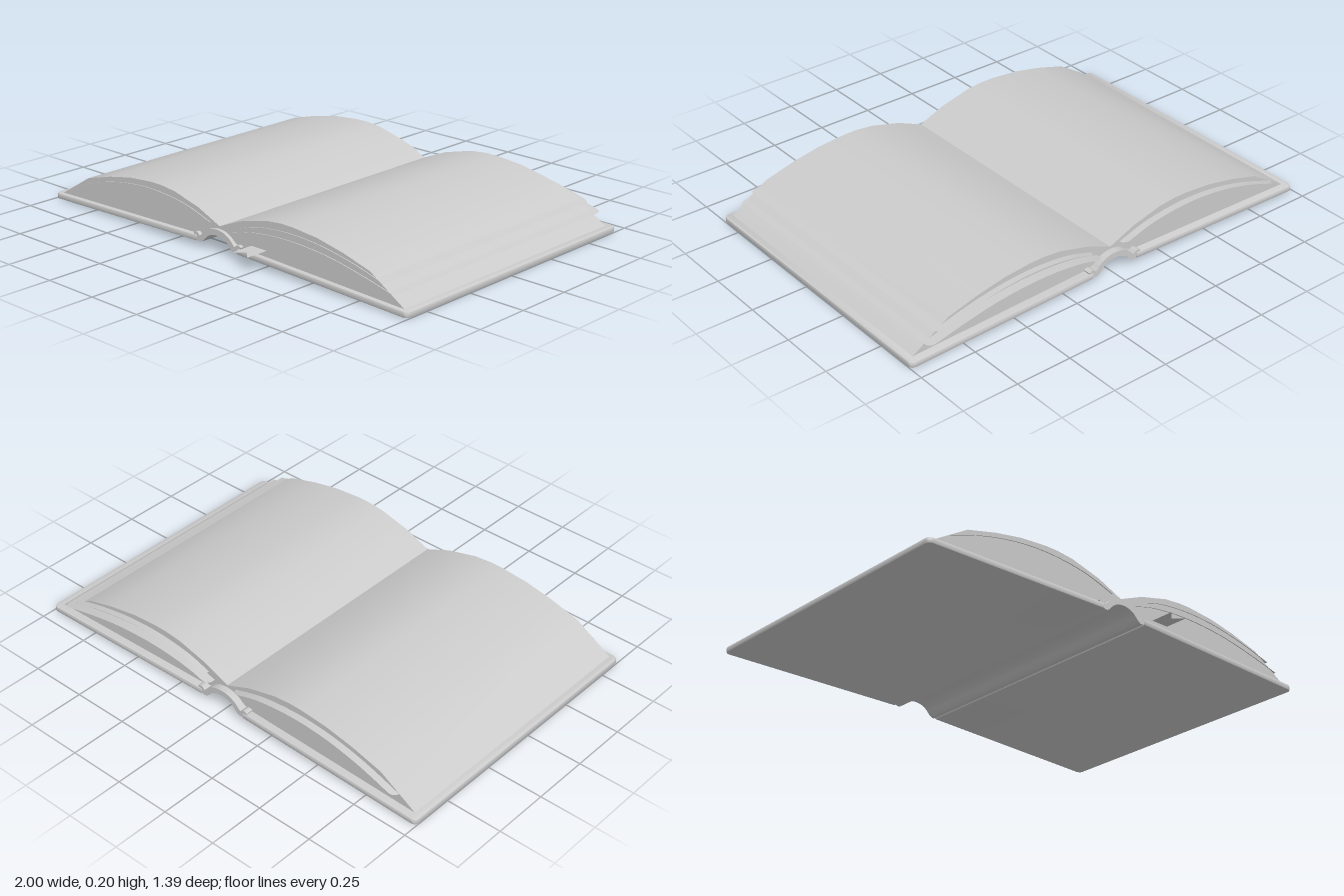
import * as THREE from 'three';
import { toCreasedNormals } from 'three/addons/utils/BufferGeometryUtils.js';

const grey = new THREE.MeshStandardMaterial({ color: 0xcccccc });
const thin = new THREE.MeshStandardMaterial({ color: 0xcccccc, side: THREE.DoubleSide });

const BACK = -0.69, FRONT = 0.61;
const v2 = ([x, y]) => new THREE.Vector2(x, y);

function add(parent, name, geometry, material = grey) {
  const mesh = new THREE.Mesh(geometry, material);
  mesh.name = name;
  parent.add(mesh);
  return mesh;
}

// Extrudes an x/y outline along z, keeping hard edges at the ends
function extrudeZ(points, z0, z1) {
  const geo = new THREE.ExtrudeGeometry(new THREE.Shape(points), { depth: z1 - z0, bevelEnabled: false });
  geo.translate(0, 0, z0);
  return toCreasedNormals(geo, 0.5);
}

// Cover board with rounded corners, rising gently towards the spine
function boardGeometry(side) {
  const b = 0.006, r = 0.018;
  const x0 = 0.115 + b, x1 = 1 - b, z0 = BACK + b, z1 = FRONT - b;
  const s = new THREE.Shape();
  s.moveTo(x0, z0);
  s.lineTo(x1 - r, z0);
  s.quadraticCurveTo(x1, z0, x1, z0 + r);
  s.lineTo(x1, z1 - r);
  s.quadraticCurveTo(x1, z1, x1 - r, z1);
  s.lineTo(x0, z1);
  const geo = new THREE.ExtrudeGeometry(s, {
    depth: 0.014, bevelThickness: b, bevelSize: b, bevelSegments: 2, curveSegments: 5,
  });
  geo.rotateX(Math.PI / 2);
  geo.translate(0, 0.02, 0);
  if (side < 0) geo.rotateY(Math.PI).translate(0, 0, BACK + FRONT);
  const p = geo.attributes.position;
  for (let i = 0; i < p.count; i++) p.setY(i, p.getY(i) + (1 - Math.abs(p.getX(i))) * 0.028);
  return toCreasedNormals(geo, 0.7);
}

// Spine: an arch with a rounded hinge groove on each side
function spineGeometry() {
  const half = [[0, 0.087], [0.035, 0.082], [0.065, 0.066], [0.085, 0.046], [0.097, 0.038],
    [0.108, 0.042], [0.118, 0.05], [0.13, 0.045]];
  const mirrored = half.slice(1).reverse().map(([x, y]) => new THREE.Vector3(-x, y, 0));
  const path = new THREE.CatmullRomCurve3([...mirrored, ...half.map(([x, y]) => new THREE.Vector3(x, y, 0))]);
  const upper = [], lower = [], n = 64, t = 0.0125;
  for (let i = 0; i <= n; i++) {
    const c = path.getPoint(i / n), d = path.getTangent(i / n);
    upper.push(new THREE.Vector2(c.x - d.y * t, c.y + d.x * t));
    lower.push(new THREE.Vector2(c.x + d.y * t, c.y - d.x * t));
  }
  return extrudeZ([...lower, ...upper.reverse()], BACK + 0.004, FRONT - 0.004);
}

// Page stack with a bulging top and a sloping fore edge
function pagesGeometry(side) {
  const outline = [[0, 0.092], [0.06, 0.08], [0.11, 0.052], [0.2, 0.047], [0.97, 0.026],
    [0.8, 0.13], [0.66, 0.168], [0.53, 0.193], [0.4, 0.204], [0.34, 0.204], [0.26, 0.196],
    [0.12, 0.16], [0, 0.11]];
  return extrudeZ(outline.map(([x, y]) => v2([x * side, y])), -0.655, 0.59);
}

// Curved loose leaf whose back corners are rounded
function leafGeometry(side, profile, back) {
  const z1 = 0.594, r = 0.03, n = 64;
  const x0 = profile[0][0], x1 = profile[profile.length - 1][0];
  const curve = new THREE.SplineCurve(profile.map(v2));
  const geo = new THREE.PlaneGeometry(1, 1, n, 1);
  const p = geo.attributes.position;
  for (let i = 0; i < p.count; i++) {
    // Columns crowd towards both ends for round corners
    const u = (1 - Math.cos((p.getX(i) + 0.5) * Math.PI)) / 2;
    const c = curve.getPoint(u);
    const d = Math.max(0, r - Math.min(c.x - x0, x1 - c.x));
    const inset = r - Math.sqrt(Math.max(0, r * r - d * d));
    p.setXYZ(i, c.x * side, c.y, p.getY(i) > 0 ? back + inset : z1);
  }
  // Restore the upward winding on the mirrored side
  if (side < 0) geo.index.array.reverse();
  geo.computeVertexNormals();
  return geo;
}

export function createModel() {
  const book = new THREE.Group();
  book.name = 'openBook';

  for (const side of [1, -1]) {
    const label = side > 0 ? 'left' : 'right';
    add(book, label + 'CoverBoard', boardGeometry(side));
    add(book, label + 'Pages', pagesGeometry(side));
  }
  add(book, 'spine', spineGeometry());

  // Leaves standing out beyond the page stacks
  add(book, 'leftUpperLeaf', leafGeometry(1,
    [[0.1, 0.125], [0.22, 0.16], [0.38, 0.176], [0.55, 0.168], [0.72, 0.139], [0.87, 0.1]], -0.682), thin);
  add(book, 'leftLowerLeaf', leafGeometry(1,
    [[0.07, 0.1], [0.2, 0.132], [0.38, 0.146], [0.58, 0.135], [0.76, 0.104], [0.92, 0.067]], -0.698), thin);
  add(book, 'rightLeaf', leafGeometry(-1,
    [[0.05, 0.115], [0.2, 0.158], [0.38, 0.176], [0.55, 0.166], [0.72, 0.131], [0.89, 0.074]], -0.686), thin);

  // Bookmark ribbon with a notched end
  const ribbon = new THREE.Shape([[0.178, 0.4], [0.262, 0.4], [0.262, 0.695], [0.22, 0.655], [0.178, 0.695]].map(v2));
  add(book, 'bookmarkRibbon',
    new THREE.ShapeGeometry(ribbon).rotateX(Math.PI / 2).translate(0, 0.073, 0), thin);

  return book;
}
